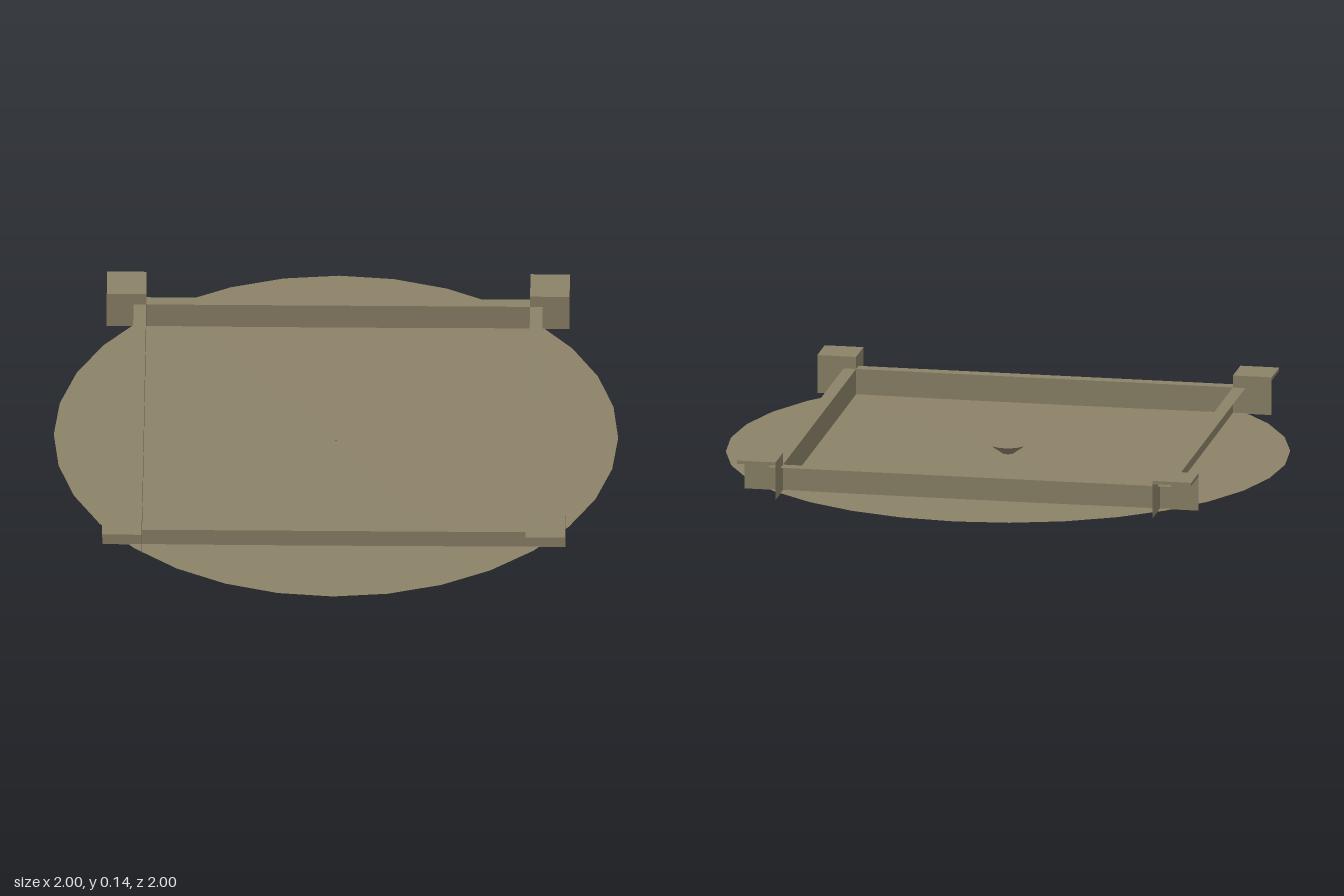
import * as THREE from 'three';

export function createModel() {
  const model = new THREE.Group();
  const stone = new THREE.MeshStandardMaterial({ color: 0x8c8268, side: THREE.DoubleSide, flatShading: true });
  stone.name = 'olive stone';

  const INNER = 0.68, OUTER = 0.82, RAIL = 0.725, BASE = 0.006;

  const add = (parent, name, geometry, x = 0, y = 0, z = 0) => {
    const mesh = new THREE.Mesh(geometry, stone);
    mesh.name = name;
    mesh.position.set(x, y, z);
    parent.add(mesh);
    return mesh;
  };

  // Very shallow round dish
  const profile = [[0, 0.002], [0.34, 0.003], [0.61, 0.005], [1, 0.008]];
  add(model, 'roundBase', new THREE.LatheGeometry(profile.map(p => new THREE.Vector2(...p)), 32));

  // Central knob, narrowing downwards
  add(model, 'centreKnob', new THREE.CylinderGeometry(0.068, 0.018, 0.036, 32), 0, 0.018, 0);

  // Four sides, each a thin upright wall with a flat ledge, and one corner post
  for (let i = 0; i < 4; i++) {
    const side = new THREE.Group();
    side.name = 'side' + (i + 1);
    side.rotation.y = i * Math.PI / 2;
    model.add(side);

    const wallHeight = 0.1 - BASE;
    add(side, 'wall', new THREE.PlaneGeometry(2 * INNER, wallHeight), 0, BASE + wallHeight / 2, INNER);
    const ledge = new THREE.PlaneGeometry(2 * RAIL, RAIL - INNER).rotateX(-Math.PI / 2);
    add(side, 'wallLedge', ledge, 0, 0.1, (INNER + RAIL) / 2);

    // Corner post: two upright plates in an L under a square cap
    const width = OUTER - INNER, middle = (INNER + OUTER) / 2, height = 0.132 - BASE;
    const plate = new THREE.PlaneGeometry(width, height);
    const y = BASE + height / 2;
    add(side, 'postPlate', plate, middle, y, INNER);
    add(side, 'postPlate', plate, INNER, y, middle).rotation.y = Math.PI / 2;
    add(side, 'postCap', new THREE.BoxGeometry(width, 0.012, width), middle, 0.138, middle);
  }
  return model;
}
